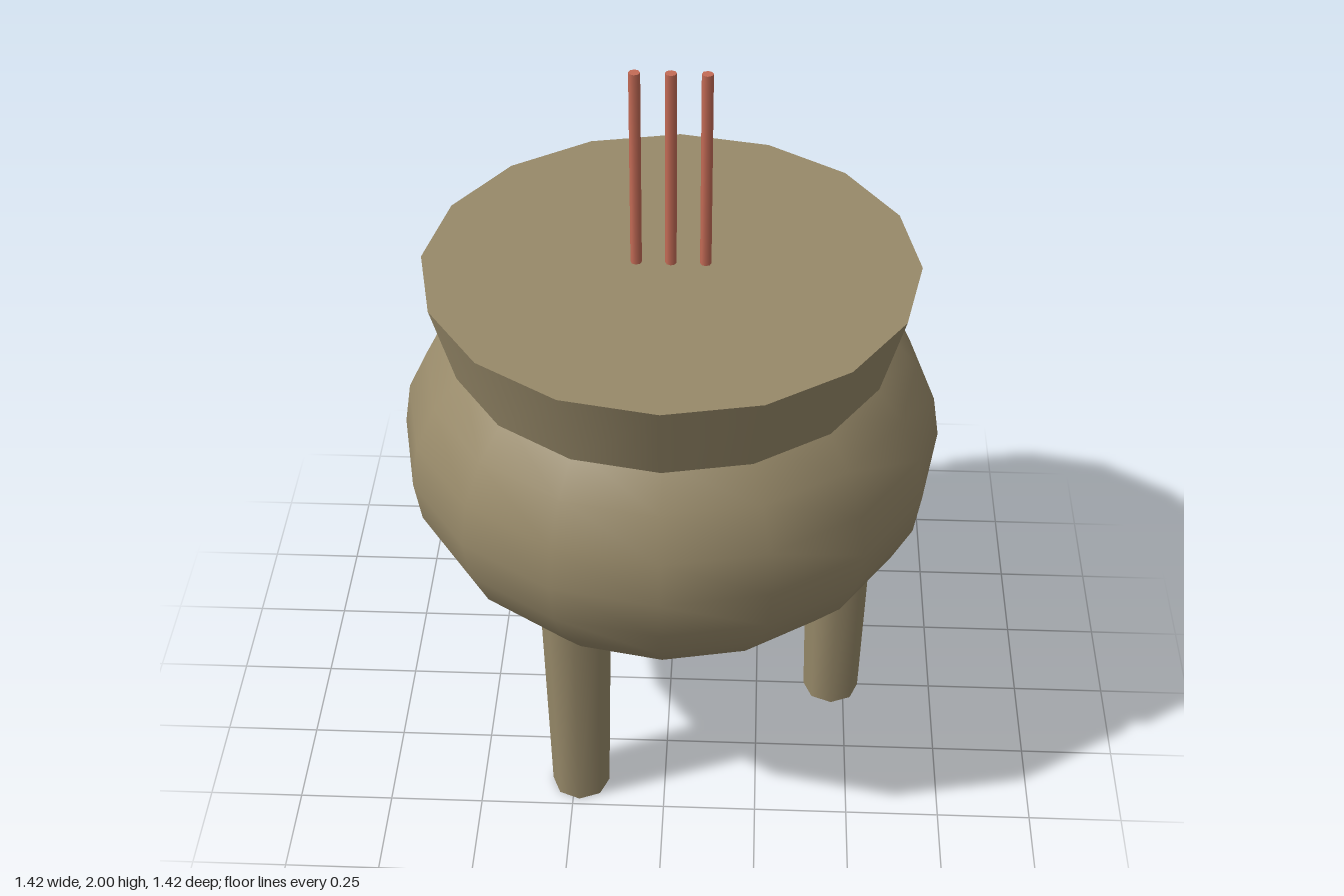
import * as THREE from 'three';

export function createModel() {
  const model = new THREE.Group();
  model.name = 'incenseBurner';

  const bronze = new THREE.MeshStandardMaterial({ color: 0x978969 });
  bronze.name = 'dull bronze';
  const red = new THREE.MeshStandardMaterial({ color: 0xc46b56 });
  red.name = 'incense red';

  const add = (name, geometry, material, x, y, z) => {
    const mesh = new THREE.Mesh(geometry, material);
    mesh.name = name;
    mesh.position.set(x, y, z);
    model.add(mesh);
    return mesh;
  };

  // Squashed round bowl
  const bowl = new THREE.SphereGeometry(0.71, 16, 14);
  bowl.scale(1, 0.735, 1);
  add('bowl', bowl, bronze, 0, 0.933, 0);

  // Flared collar with a flat top
  add('collar', new THREE.CylinderGeometry(0.635, 0.575, 0.22, 16), bronze, 0, 1.35, 0);

  // Three tapered legs, sunk into the bowl
  const legHeight = 0.68;
  const leg = new THREE.CylinderGeometry(0.093, 0.078, legHeight, 8);
  for (let i = 0; i < 3; i++) {
    const a = (i * Math.PI * 2) / 3;
    add('leg' + (i + 1), leg, bronze, Math.cos(a) * 0.465, legHeight / 2, Math.sin(a) * 0.465);
  }

  // Row of incense sticks
  const stick = new THREE.CylinderGeometry(0.0145, 0.0145, 0.56, 8);
  [-0.088, 0, 0.088].forEach((x, i) => add('incenseStick' + (i + 1), stick, red, x, 1.72, 0));

  return model;
}
